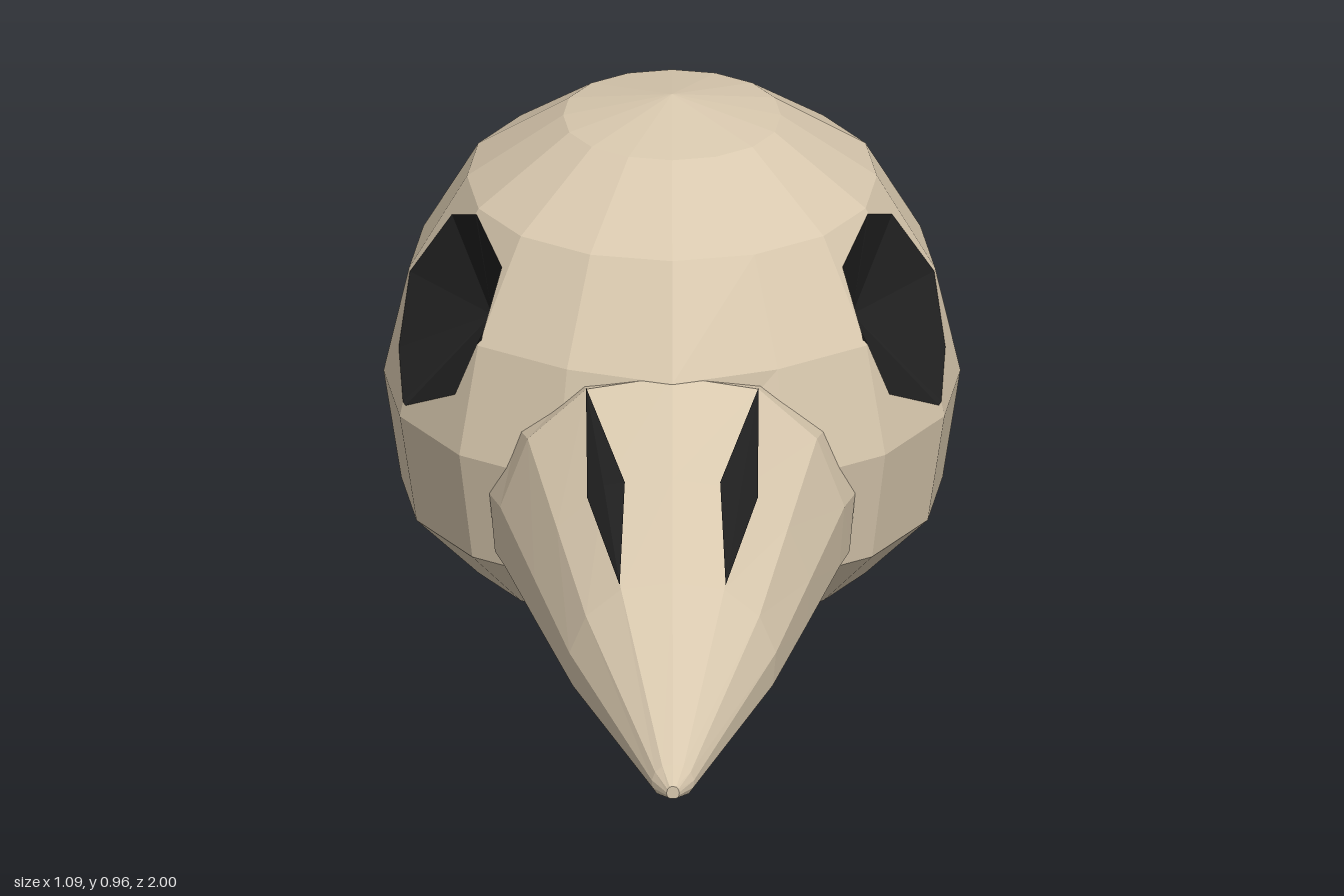
import * as THREE from 'three';

const V = (x, y, z) => new THREE.Vector3(x, y, z);

// Faceted geometry from a list of triangle corners
function facets(points) {
  const g = new THREE.BufferGeometry().setFromPoints(points);
  g.computeVertexNormals();
  return g;
}

// Triangles joining closed rings of equal point count, skipping collapsed ones
function loft(rings) {
  const tris = [];
  const add = (a, b, c) => {
    const area = b.clone().sub(a).cross(c.clone().sub(a)).length();
    if (area > 1e-7) tris.push([a, b, c]);
  };
  for (let i = 0; i < rings.length - 1; i++) {
    const A = rings[i], B = rings[i + 1], n = A.length;
    for (let j = 0; j < n; j++) {
      const k = (j + 1) % n;
      add(A[j], A[k], B[k]);
      add(A[j], B[k], B[j]);
    }
  }
  return tris;
}

// Horizontal ring of the braincase, slightly flattened at the sides
const SIDES = 16;
function headRing(r, y, pull = 0) {
  return Array.from({ length: SIDES }, (_, j) => {
    const a = (j / SIDES) * Math.PI * 2, s = Math.sin(a);
    return V(s * r * (1 - 0.045 * s ** 8), y, -0.43 + Math.cos(a) * r + (j === 0 ? pull : 0));
  });
}

// Eye opening outline as seen from the side: [z, y]
const EYE = [[-0.065, 0.61], [-0.135, 0.73], [-0.27, 0.78], [-0.385, 0.73],
  [-0.415, 0.6], [-0.355, 0.47], [-0.205, 0.415], [-0.085, 0.49]];
const eyePlanes = EYE.map(([z, y], i) => {
  const [z2, y2] = EYE[(i + 1) % EYE.length];
  const len = Math.hypot(z2 - z, y2 - y);
  // Positive outside the outline
  return p => ((p.z - z) * (y2 - y) - (p.y - y) * (z2 - z)) / len;
});
const centreSign = Math.sign(eyePlanes[0](V(0, 0.6, -0.24)));
const outside = eyePlanes.map(f => p => -centreSign * f(p));

// Part of a polygon on the side of a plane where sign * f >= 0
function clip(poly, f, sign) {
  const out = [];
  poly.forEach((p, i) => {
    const q = poly[(i + 1) % poly.length];
    const a = f(p) * sign, b = f(q) * sign;
    if (a >= 0) out.push(p);
    if ((a > 0 && b < 0) || (a < 0 && b > 0)) out.push(p.clone().lerp(q, a / (a - b)));
  });
  return out;
}

// Cut the eye openings from the shell and line them with shallow hollows
function cutEyes(tris) {
  const shell = [], hollow = { 1: [], '-1': [] };
  const keep = poly => {
    for (let i = 1; i < poly.length - 1; i++) shell.push(poly[0], poly[i], poly[i + 1]);
  };
  for (const tri of tris) {
    if (!outside.every(f => tri.some(p => f(p) < 0))) { keep(tri); continue; }
    let rest = tri;
    for (const f of outside) {
      const off = clip(rest, f, 1);
      if (off.length > 2) keep(off);
      rest = clip(rest, f, -1);
      if (rest.length < 3) break;
    }
    if (rest.length < 3) continue;
    const side = Math.sign(rest[0].x + rest[1].x + rest[2].x);
    const apex = V(side * 0.34, 0.57, -0.28);
    rest.forEach((p, i) => {
      const q = rest[(i + 1) % rest.length];
      const onRim = outside.some(f => Math.abs(f(p)) < 1e-6 && Math.abs(f(q)) < 1e-6);
      if (onRim && p.distanceTo(q) > 1e-6) hollow[side].push(p, q, apex);
    });
  }
  return { shell, hollow };
}

// Half cross-section of the beak, top to bottom, in units of half width and height
const SECTION = [[0, 1], [0.5, 0.95], [0.84, 0.76], [1, 0.5],
  [0.97, 0.27], [0.76, 0.08], [0.42, 0], [0, 0]];
function beakRing([z, w, top, bottom]) {
  const at = side => ([x, y]) => V(side * x * w, bottom + y * (top - bottom), z);
  return [...SECTION.map(at(-1)), ...SECTION.slice(1, -1).reverse().map(at(1))];
}

export function createModel() {
  const group = new THREE.Group();
  const bone = new THREE.MeshStandardMaterial({ color: 0xd8c8ae });
  bone.name = 'bone';
  const dark = new THREE.MeshStandardMaterial({ color: 0x1f1f1f });
  dark.name = 'dark hollow';
  const add = (name, points, material) => {
    const mesh = new THREE.Mesh(facets(points), material);
    mesh.name = name;
    group.add(mesh);
  };

  // Braincase with eye openings
  const head = loft([headRing(0.285, 0), headRing(0.405, 0.04), headRing(0.535, 0.17),
    headRing(0.57, 0.39), headRing(0.52, 0.6, 0.03), headRing(0.405, 0.79),
    headRing(0.215, 0.915), headRing(0, 0.958)]);
  const { shell, hollow } = cutEyes(head);
  add('braincase', shell, bone);
  add('leftEyeSocket', hollow[1], dark);
  add('rightEyeSocket', hollow[-1], dark);

  // Opening under the braincase
  add('baseOpening', loft([headRing(0, 0.15), headRing(0.285, 0)]).flat(), dark);

  // Beak: z, half width, top, bottom
  const beak = [[-0.15, 0.34, 0.55, 0.065], [0, 0.345, 0.58, 0.065], [0.1, 0.325, 0.608, 0.07],
    [0.34, 0.26, 0.5, 0.085], [0.575, 0.195, 0.39, 0.1], [0.965, 0.04, 0.185, 0.12],
    [1, 0.012, 0.155, 0.13], [1, 0, 0.142, 0.142]];
  add('beak', loft(beak.map(beakRing)).flat(), bone);

  // Nostrils folded over the beak's upper edges
  for (const side of [1, -1]) {
    const [back, inner, front, outer, mid] = [[0.163, 0.585, 0.1], [0.09, 0.494, 0.34],
      [0.1, 0.384, 0.575], [0.161, 0.46, 0.335], [0.13, 0.487, 0.34]]
      .map(([x, y, z]) => V(side * x, y, z));
    const rim = [back, inner, front, outer];
    if (side < 0) rim.reverse();
    add(side > 0 ? 'leftNostril' : 'rightNostril',
      rim.flatMap((p, i) => [p, rim[(i + 1) % 4], mid]), dark);
  }
  return group;
}
